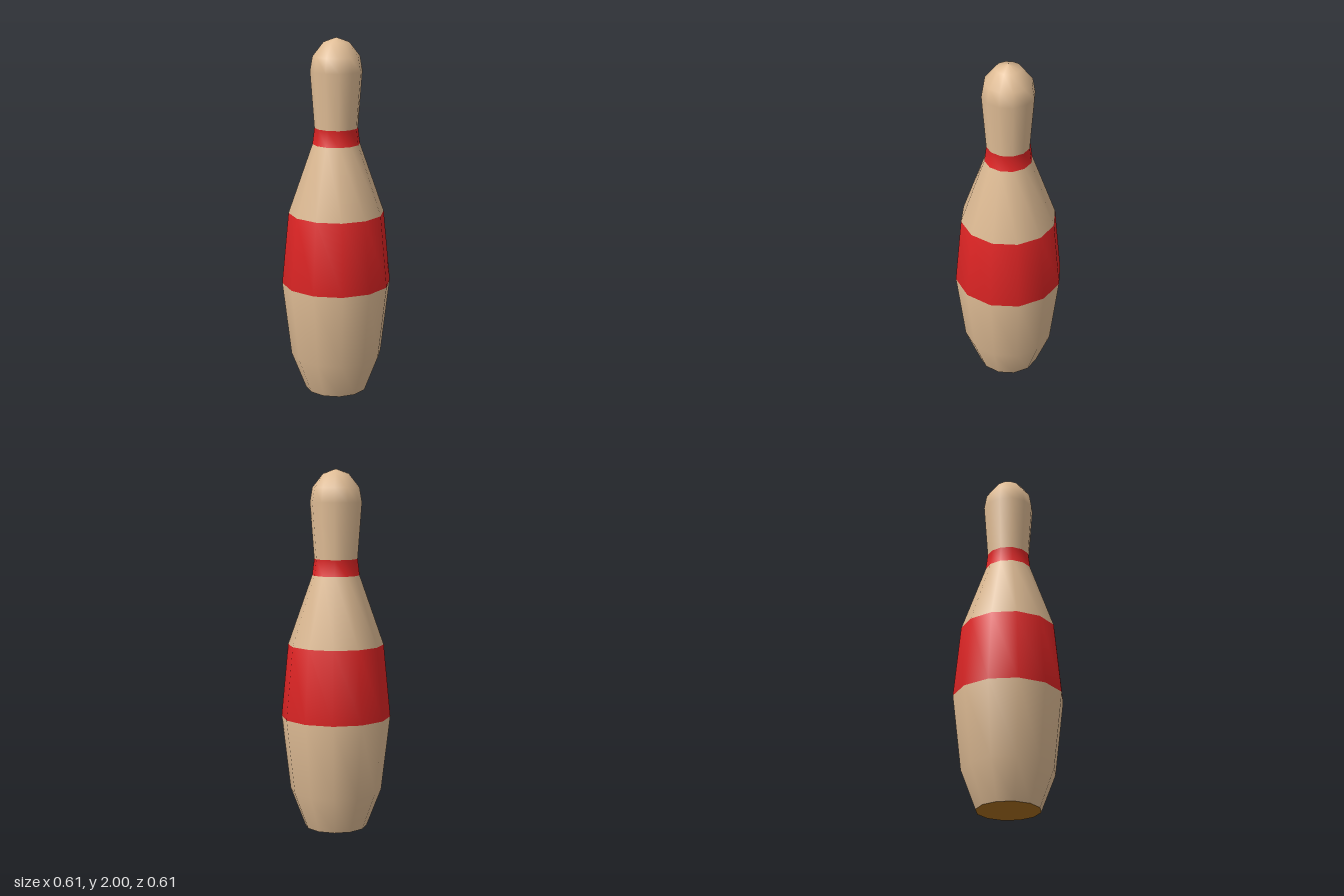
import * as THREE from 'three';

const SIDES = 12;

// Outline from base to crown: [radius, height]
const PROFILE = [
  [0.175, 0], [0.256, 0.21], [0.305, 0.63], [0.266, 1.035], [0.131, 1.42],
  [0.12, 1.51], [0.143, 1.82], [0.129, 1.9], [0.07, 1.975], [0, 2],
];

function material(name, color) {
  const m = new THREE.MeshStandardMaterial({ color });
  m.name = name;
  return m;
}

export function createModel() {
  const group = new THREE.Group();
  group.name = 'bowlingPin';
  const wood = material('pale wood', 0xdebb94);
  const red = material('red', 0xdc2424);
  const brown = material('brown base', 0xac701f);

  // One smooth lathe, cut into bands that keep its shared normals
  const body = new THREE.LatheGeometry(PROFILE.map(([r, y]) => new THREE.Vector2(r, y)), SIDES);
  const rows = PROFILE.length - 1;
  const indices = Array.from(body.index.array);

  function addBand(name, from, to, mat) {
    const geometry = body.clone();
    geometry.setIndex(indices.filter((_, i) => {
      const row = Math.floor(i / 6) % rows;
      return row >= from && row < to;
    }));
    const mesh = new THREE.Mesh(geometry, mat);
    mesh.name = name;
    group.add(mesh);
  }

  addBand('lowerBody', 0, 2, wood);
  addBand('bellyStripe', 2, 3, red);
  addBand('shoulder', 3, 4, wood);
  addBand('neckStripe', 4, 5, red);
  addBand('head', 5, rows, wood);

  // Flat underside, with corners matching the lathe
  const base = new THREE.Mesh(new THREE.CircleGeometry(PROFILE[0][0], SIDES), brown);
  base.name = 'base';
  base.rotation.x = Math.PI / 2;
  group.add(base);

  return group;
}
